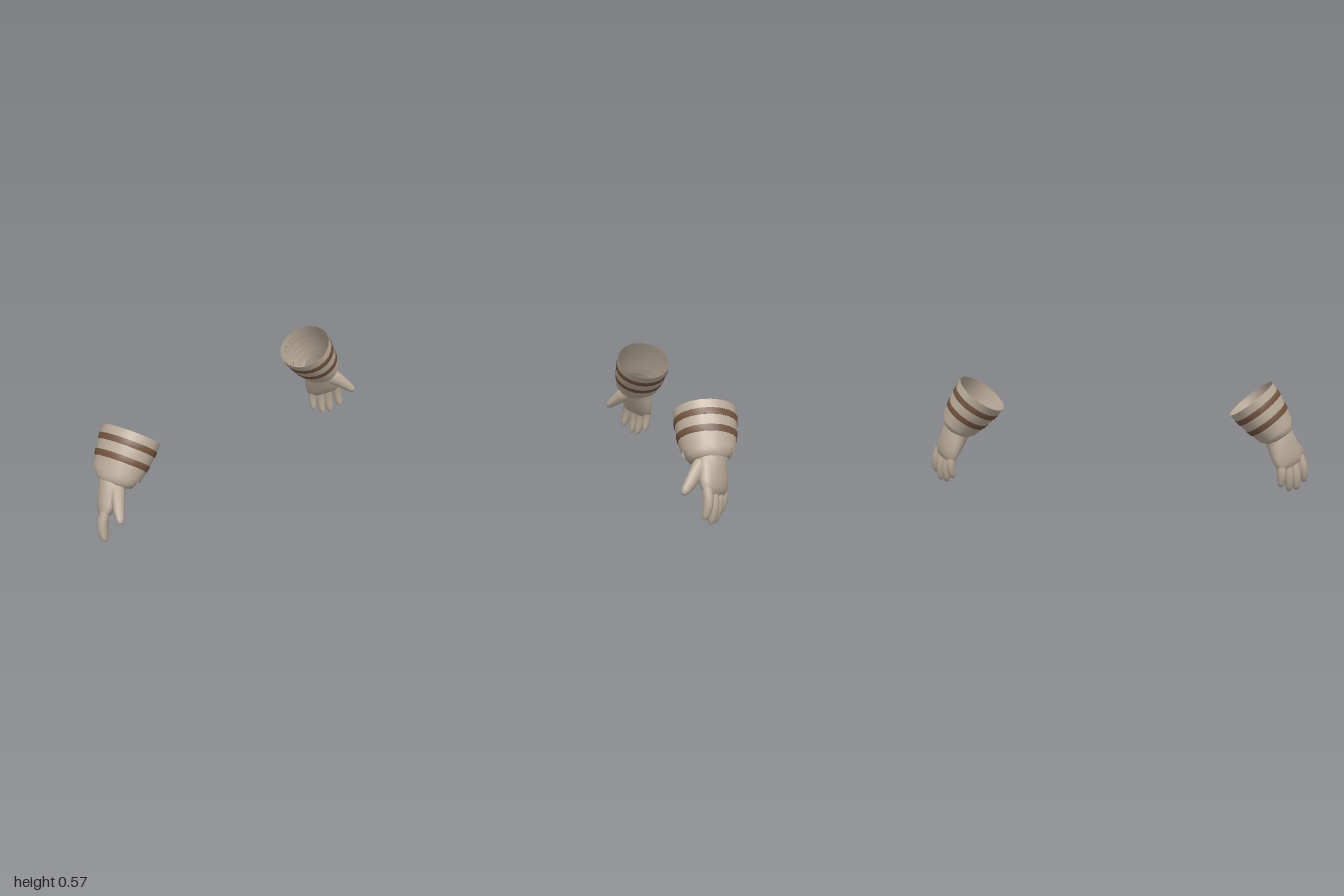
import * as THREE from 'three';

const V = (x, y, z) => new THREE.Vector3(x, y, z);
const ACROSS = V(0.72, 0, 0.69); // knuckle line, towards the index finger
const BACK = V(0.69, 0, -0.72); // out of the back of the hand
const SIDE = V(0, 0, 1); // cuff cross-section axis

const cloth = new THREE.MeshStandardMaterial({ color: 0xb9ab99, side: THREE.DoubleSide });
cloth.name = 'beigeCloth';
const band = new THREE.MeshStandardMaterial({ color: 0x745540, side: THREE.DoubleSide });
band.name = 'brownBand';

// Skin over elliptical sections [centre, half width along ref, half thickness]; mirror = -1 flips x
function loft(name, sections, ref, sides, material, mirror) {
  const pos = [], index = [];
  sections.forEach(([c, wa, wt], i) => {
    const prev = sections[Math.max(i - 1, 0)][0];
    const next = sections[Math.min(i + 1, sections.length - 1)][0];
    const dir = next.clone().sub(prev).normalize();
    const a = ref.clone().addScaledVector(dir, -ref.dot(dir)).normalize();
    const t = dir.clone().cross(a);
    for (let j = 0; j < sides; j++) {
      const q = (j / sides) * Math.PI * 2;
      const p = c.clone().addScaledVector(a, Math.cos(q) * wa).addScaledVector(t, Math.sin(q) * wt);
      pos.push(p.x * mirror, p.y, p.z);
    }
  });
  for (let i = 0; i < sections.length - 1; i++) {
    for (let j = 0; j < sides; j++) {
      const k = (j + 1) % sides;
      const A = i * sides + j, B = i * sides + k, C = A + sides, D = B + sides;
      if (mirror > 0) index.push(A, B, C, B, D, C);
      else index.push(A, C, B, B, C, D);
    }
  }
  const g = new THREE.BufferGeometry();
  g.setAttribute('position', new THREE.Float32BufferAttribute(pos, 3));
  g.setIndex(index);
  g.computeVertexNormals();
  const mesh = new THREE.Mesh(g, material);
  mesh.name = name;
  return mesh;
}

// Section of the flared cuff at fraction f from the open rim to the wrist
function cuffSection(f, grow = 0) {
  const c = V(0.705, 0.48, -0.01).lerp(V(0.835, 0.315, 0.004), f);
  const bulge = 0.006 * Math.sin(f * Math.PI);
  return [c, 0.15 - 0.024 * f + bulge + grow, 0.138 - 0.038 * f + bulge + grow];
}

// Tapered finger bowed towards the back of the hand
function fingerSections(base, tip, r) {
  const profile = [[0, 0.95], [0.3, 1], [0.55, 0.92], [0.8, 0.76], [0.95, 0.48], [1, 0.03]];
  return profile.map(([f, s]) => [
    base.clone().lerp(tip, f).addScaledVector(BACK, 0.014 * Math.sin(f * Math.PI)), r * s, r * s * 0.95,
  ]);
}

function buildGlove(name, m) {
  const glove = new THREE.Group();
  glove.name = name;

  // Flared open cuff
  const steps = [0, 0.2, 0.4, 0.6, 0.8, 1];
  glove.add(loft('cuff', steps.map((f) => cuffSection(f)), SIDE, 20, cloth, m));

  // Two stripes around the cuff
  [[0.2, 0.34], [0.57, 0.71]].forEach(([f0, f1], i) => {
    const rings = [cuffSection(f0, -0.001), cuffSection(f0, 0.003), cuffSection(f1, 0.003), cuffSection(f1, -0.001)];
    // tiny offsets keep the end rings in order along the axis
    rings[0][0].lerp(rings[3][0], -0.01);
    rings[3][0].lerp(rings[0][0], -0.01);
    glove.add(loft('cuffStripe' + (i + 1), rings, SIDE, 20, band, m));
  });

  // Inner sleeve gathered at the wrist
  glove.add(loft('wristSleeve', [
    [V(0.815, 0.34, 0.002), 0.119, 0.096],
    [V(0.839, 0.308, 0.002), 0.114, 0.09],
    [V(0.853, 0.29, 0.001), 0.1, 0.08],
    [V(0.857, 0.284, 0.001), 0.082, 0.068],
  ], SIDE, 16, cloth, m));

  // Wrist and palm
  glove.add(loft('palm', [
    [V(0.815, 0.34, 0), 0.074, 0.07],
    [V(0.848, 0.29, 0), 0.08, 0.07],
    [V(0.868, 0.245, -0.004), 0.09, 0.062],
    [V(0.888, 0.2, -0.007), 0.098, 0.052],
    [V(0.905, 0.165, -0.008), 0.097, 0.042],
    [V(0.914, 0.14, -0.006), 0.088, 0.028],
    [V(0.918, 0.128, -0.005), 0.06, 0.01],
    [V(0.918, 0.126, -0.005), 0.001, 0.001],
  ], ACROSS, 16, cloth, m));

  // Four fingers
  const fingers = [
    ['indexFinger', V(0.953, 0.185, 0.038), V(0.982, 0.04, 0.061), 0.027],
    ['middleFinger', V(0.92, 0.17, 0.008), V(0.943, 0.004, 0.02), 0.028],
    ['ringFinger', V(0.887, 0.165, -0.024), V(0.905, 0, -0.006), 0.027],
    ['littleFinger', V(0.858, 0.165, -0.051), V(0.862, 0.028, -0.043), 0.025],
  ];
  for (const [n, base, tip, r] of fingers) {
    glove.add(loft(n, fingerSections(base, tip, r), ACROSS, 10, cloth, m));
  }

  // Thumb
  glove.add(loft('thumb', [
    [V(0.862, 0.29, 0.03), 0.035, 0.04],
    [V(0.885, 0.26, 0.057), 0.038, 0.046],
    [V(0.915, 0.232, 0.09), 0.032, 0.037],
    [V(0.945, 0.2, 0.122), 0.026, 0.028],
    [V(0.963, 0.178, 0.145), 0.02, 0.021],
    [V(0.971, 0.167, 0.155), 0.012, 0.012],
    [V(0.972, 0.165, 0.156), 0.001, 0.001],
  ], BACK, 10, cloth, m));
  return glove;
}

export function createModel() {
  const model = new THREE.Group();
  model.name = 'pairOfGloves';
  model.add(buildGlove('leftGlove', 1), buildGlove('rightGlove', -1));
  return model;
}
